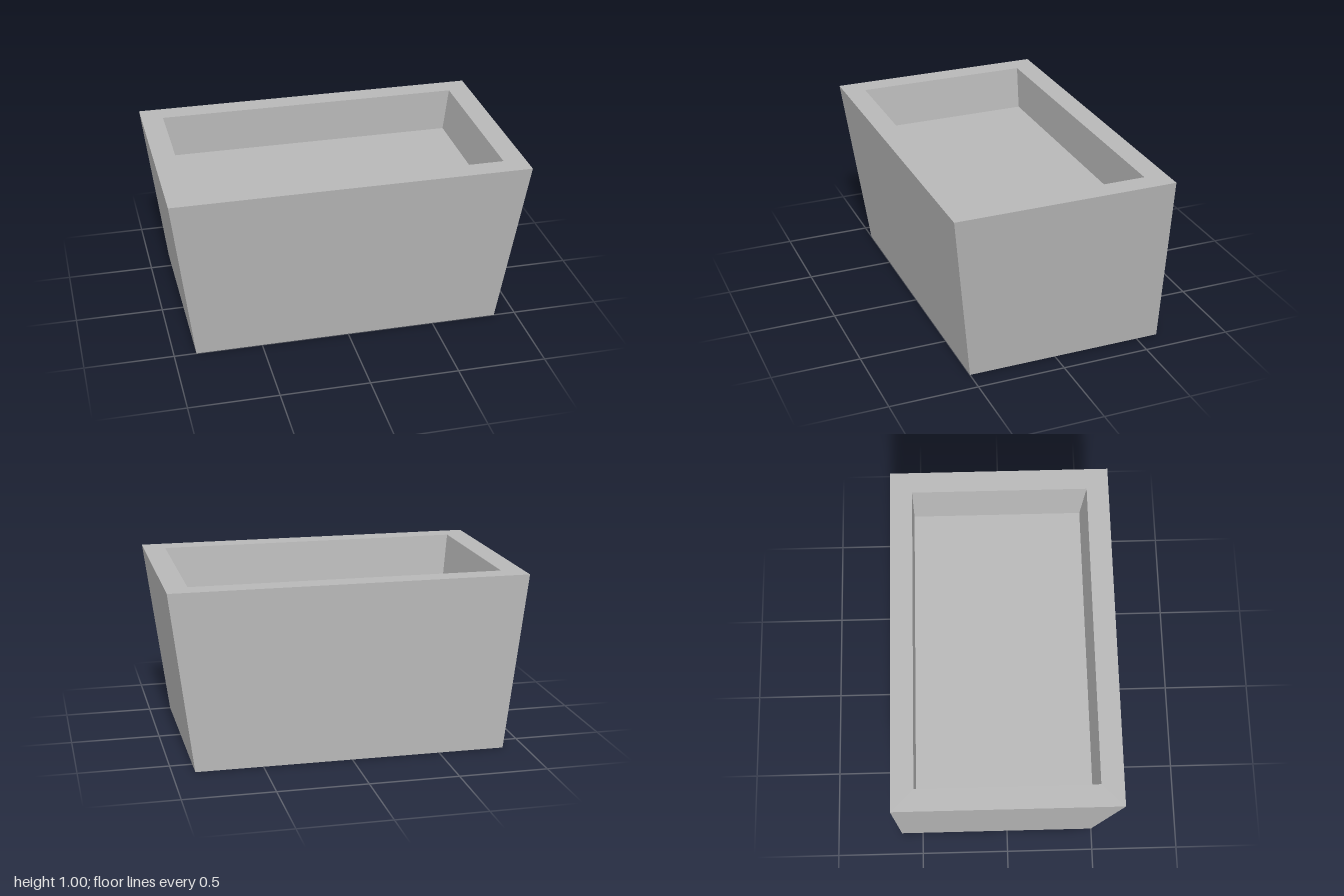
import * as THREE from 'three';

// Rectangular cross-section: half width, height, back z, front z
const ring = (w, y, back, front) => [[-w, y, front], [w, y, front], [w, y, back], [-w, y, back]];

// Mesh of flat quads, corners counter-clockwise as seen from outside
function quadMesh(name, quads, material) {
  const positions = quads.flatMap(([a, b, c, d]) => [a, b, c, a, c, d].flat());
  const geometry = new THREE.BufferGeometry();
  geometry.setAttribute('position', new THREE.Float32BufferAttribute(positions, 3));
  geometry.computeVertexNormals();
  const mesh = new THREE.Mesh(geometry, material);
  mesh.name = name;
  return mesh;
}

// Band of four faces joining two cross-sections
const band = (lower, upper) => lower.map((p, i) => {
  const j = (i + 1) % 4;
  return [p, lower[j], upper[j], upper[i]];
});

export function createModel() {
  const grey = new THREE.MeshStandardMaterial({ color: 0xb8b8b8 });
  grey.name = 'grey';

  // The sides and front taper towards the base; the back stays upright
  const base = ring(0.875, 0, -0.625, 0.5);
  const top = ring(1, 1, -0.625, 0.625);
  const opening = ring(0.875, 1, -0.5, 0.5);
  const floor = ring(0.844, 0.75, -0.5, 0.469);

  const planter = new THREE.Group();
  planter.name = 'planter';
  planter.add(
    quadMesh('outerWalls', band(base, top), grey),
    quadMesh('rim', band(top, opening), grey),
    quadMesh('innerWalls', band(opening, floor), grey),
    quadMesh('innerFloor', [floor], grey),
    quadMesh('underside', [[...base].reverse()], grey),
  );
  return planter;
}
